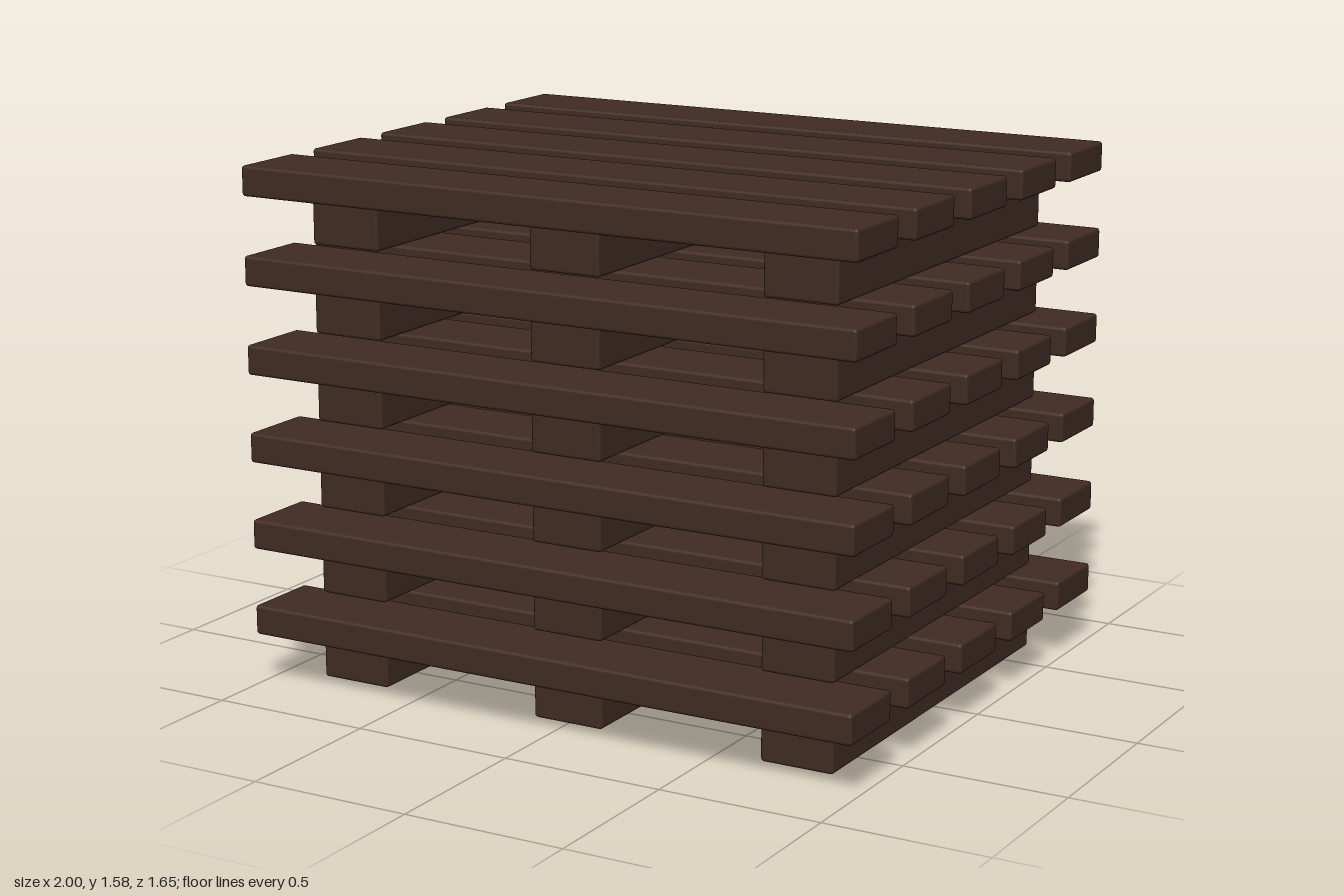
import * as THREE from 'three';
import { RoundedBoxGeometry } from 'three/addons/geometries/RoundedBoxGeometry.js';

const PALLETS = 6;
const PITCH = 0.2665; // height from one pallet to the next
const BEVEL = 0.01;

export function createModel() {
  const wood = new THREE.MeshStandardMaterial({ color: 0x402b22 });
  wood.name = 'dark wood';

  const bearerGeometry = new RoundedBoxGeometry(0.23, 0.152, 1.334, 2, BEVEL);
  const slatGeometry = new RoundedBoxGeometry(2, 0.091, 0.246, 2, BEVEL);

  const addBoard = (parent, name, geometry, x, y, z) => {
    const board = new THREE.Mesh(geometry, wood);
    board.name = name;
    board.position.set(x, y, z);
    parent.add(board);
  };

  const stack = new THREE.Group();
  stack.name = 'palletStack';

  for (let i = 0; i < PALLETS; i++) {
    const pallet = new THREE.Group();
    pallet.name = `pallet${i + 1}`;
    pallet.position.y = i * PITCH;

    // Three bearers running front to back
    for (let b = -1; b <= 1; b++) {
      addBoard(pallet, `bearer${b + 2}`, bearerGeometry, b * 0.75, 0.076, 0);
    }
    // Five deck slats running side to side
    for (let s = -2; s <= 2; s++) {
      addBoard(pallet, `slat${s + 3}`, slatGeometry, 0, 0.2025, s * 0.351);
    }
    stack.add(pallet);
  }
  return stack;
}
